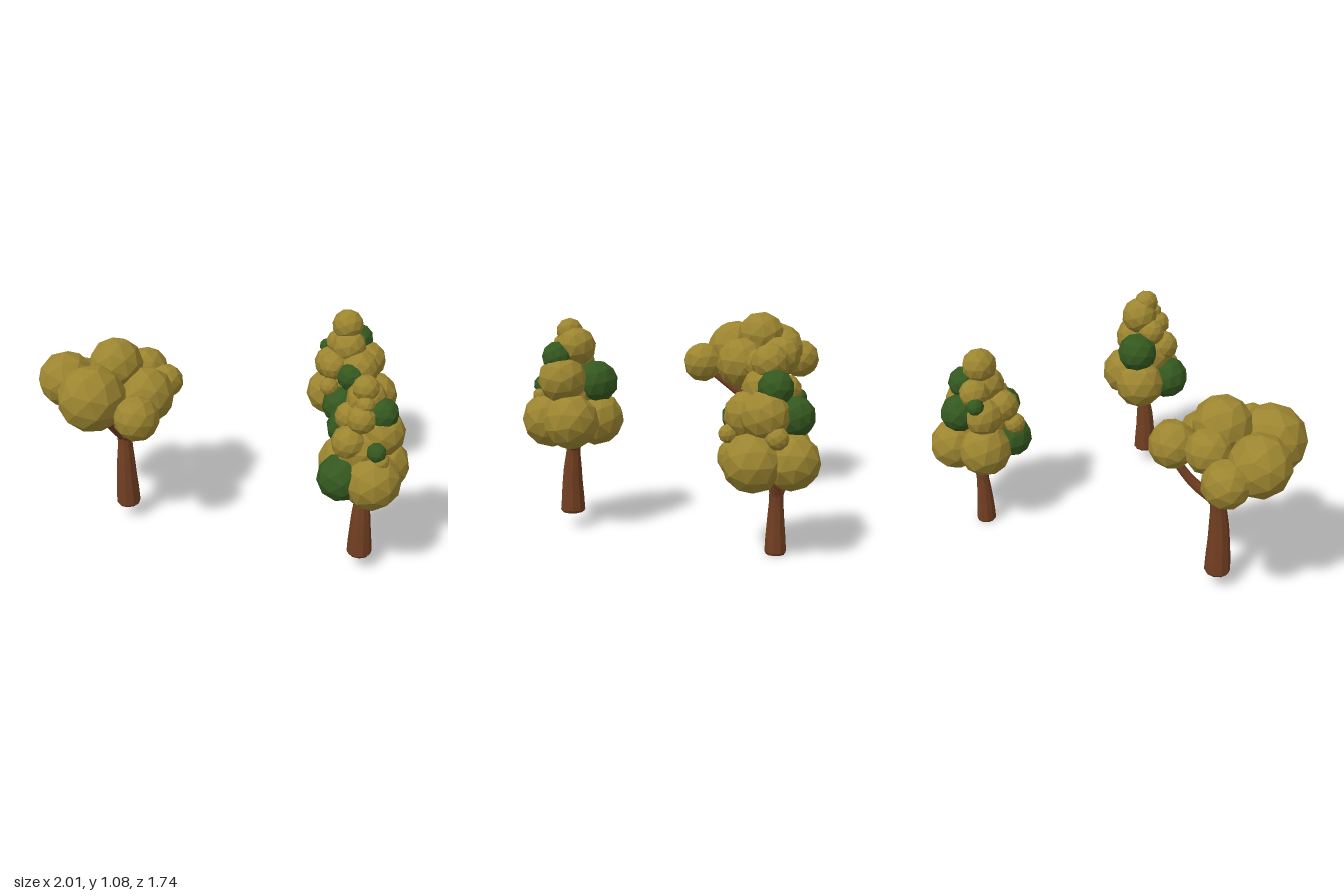
import * as THREE from 'three';

const olive = new THREE.MeshStandardMaterial({ color: 0x9c8530 });
olive.name = 'oliveLeaves';
const green = new THREE.MeshStandardMaterial({ color: 0x34581f });
green.name = 'greenLeaves';
const bark = new THREE.MeshStandardMaterial({ color: 0x713e21 });
bark.name = 'bark';
for (const m of [olive, green, bark]) m.flatShading = true;

// Tapered limb: a tube whose rings are rescaled along the path
function limb(name, points, radii) {
  const curve = new THREE.CatmullRomCurve3(points.map(p => new THREE.Vector3(...p)));
  const steps = 14, sides = 10;
  const geo = new THREE.TubeGeometry(curve, steps, 1, sides, false);
  const pos = geo.attributes.position, v = new THREE.Vector3();
  for (let i = 0; i <= steps; i++) {
    const t = (i / steps) * (radii.length - 1);
    const k = Math.min(Math.floor(t), radii.length - 2);
    const r = THREE.MathUtils.lerp(radii[k], radii[k + 1], t - k);
    const c = curve.getPointAt(i / steps);
    for (let j = 0; j <= sides; j++) {
      const n = i * (sides + 1) + j;
      v.fromBufferAttribute(pos, n).sub(c).multiplyScalar(r).add(c);
      pos.setXYZ(n, v.x, v.y, v.z);
    }
  }
  geo.computeVertexNormals();
  const mesh = new THREE.Mesh(geo, bark);
  mesh.name = name;
  return mesh;
}

// Faceted leaf clump
const clumpGeo = new THREE.IcosahedronGeometry(1, 1);
function clump([x, y, z, r], material, i) {
  const mesh = new THREE.Mesh(clumpGeo, material);
  mesh.name = 'leafClump';
  mesh.position.set(x, y, z);
  mesh.scale.setScalar(r * 1.01);
  mesh.rotation.set(i * 1.3, i * 2.1, i * 0.7);
  return mesh;
}

// Flared trunk with a rounded foot, branches and leaf clumps
function tree(name, { base, top, foot, neck, branches, oliveClumps, greenClumps }) {
  const g = new THREE.Group();
  g.name = name;
  const [bx, by, bz] = base;
  const mid = [bx, (by + top[1]) / 2, bz];
  g.add(limb('trunk', [[bx, by + 0.012, bz], mid, top],
    [foot, foot * 0.94, foot * 0.84, foot * 0.75, neck, neck]));
  const footMesh = new THREE.Mesh(new THREE.CylinderGeometry(foot, foot * 0.88, 0.014, 10), bark);
  footMesh.name = 'trunkFoot';
  footMesh.position.set(bx, by + 0.007, bz);
  g.add(footMesh);
  for (const [a, b] of branches) {
    const start = [top[0], top[1] - 0.04, top[2]];
    g.add(limb('branch', [start, a, b], [neck * 0.85, neck * 0.6, neck * 0.45]));
  }
  oliveClumps.forEach((c, i) => g.add(clump(c, olive, i)));
  greenClumps.forEach((c, i) => g.add(clump(c, green, i + 3)));
  return g;
}

export function createModel() {
  const model = new THREE.Group();
  model.name = 'treeGroup';

  model.add(tree('spreadingTree', {
    base: [-0.63, 0.08, -0.47], top: [-0.62, 0.53, -0.48], foot: 0.065, neck: 0.04,
    branches: [
      [[-0.69, 0.57, -0.44], [-0.8, 0.72, -0.38]],
      [[-0.5, 0.58, -0.5], [-0.38, 0.75, -0.53]],
      [[-0.65, 0.58, -0.56], [-0.73, 0.74, -0.74]],
      [[-0.63, 0.58, -0.36], [-0.68, 0.72, -0.18]],
    ],
    oliveClumps: [
      [-0.85, 0.82, -0.65, 0.15], [-0.83, 0.81, -0.38, 0.175],
      [-0.73, 0.76, -0.76, 0.115], [-0.63, 0.91, -0.5, 0.142],
      [-0.61, 0.84, -0.64, 0.11], [-0.42, 0.81, -0.58, 0.115],
      [-0.37, 0.77, -0.45, 0.092], [-0.53, 0.76, -0.37, 0.15],
      [-0.69, 0.75, -0.16, 0.117],
    ],
    greenClumps: [],
  }));

  model.add(tree('middleTree', {
    base: [0.155, 0.08, 0.62], top: [0.165, 0.46, 0.61], foot: 0.064, neck: 0.038,
    branches: [
      [[0.22, 0.46, 0.61], [0.28, 0.54, 0.62]],
      [[0.14, 0.48, 0.64], [0.12, 0.56, 0.68]],
      [[0.15, 0.48, 0.57], [0.14, 0.56, 0.52]],
    ],
    oliveClumps: [
      [0.13, 0.565, 0.72, 0.147], [0.14, 0.565, 0.49, 0.138], [0.27, 0.57, 0.62, 0.14],
      [0.22, 0.78, 0.66, 0.122], [0.05, 0.76, 0.63, 0.085], [0.13, 0.7, 0.62, 0.13],
      [0.14, 0.69, 0.77, 0.042], [0.18, 0.94, 0.59, 0.1], [0.1, 0.88, 0.66, 0.072],
      [0.1, 0.86, 0.57, 0.075], [0.12, 0.95, 0.66, 0.045], [0.15, 1.015, 0.62, 0.066],
    ],
    greenClumps: [
      [0.02, 0.57, 0.62, 0.12], [0.155, 0.755, 0.49, 0.11],
      [0.21, 0.89, 0.68, 0.08], [0.12, 0.74, 0.76, 0.048],
    ],
  }));

  model.add(tree('rightTree', {
    base: [0.735, 0, -0.335], top: [0.745, 0.32, -0.335], foot: 0.052, neck: 0.034,
    branches: [
      [[0.72, 0.36, -0.31], [0.68, 0.45, -0.27]],
      [[0.78, 0.36, -0.32], [0.82, 0.45, -0.28]],
      [[0.75, 0.36, -0.37], [0.75, 0.45, -0.41]],
    ],
    oliveClumps: [
      [0.86, 0.47, -0.2, 0.142], [0.73, 0.47, -0.17, 0.115], [0.86, 0.47, -0.38, 0.135],
      [0.68, 0.47, -0.39, 0.138], [0.74, 0.58, -0.3, 0.13],
      [0.84, 0.68, -0.26, 0.118], [0.62, 0.69, -0.28, 0.085], [0.74, 0.67, -0.2, 0.118],
      [0.68, 0.66, -0.38, 0.1], [0.77, 0.59, -0.1, 0.045], [0.92, 0.59, -0.3, 0.055],
      [0.57, 0.58, -0.25, 0.055], [0.72, 0.79, -0.27, 0.1], [0.73, 0.78, -0.37, 0.08],
      [0.73, 0.91, -0.3, 0.09],
    ],
    greenClumps: [
      [0.62, 0.47, -0.2, 0.108], [0.67, 0.65, -0.17, 0.085], [0.81, 0.67, -0.4, 0.1],
      [0.82, 0.805, -0.31, 0.085], [0.69, 0.74, -0.44, 0.045],
    ],
  }));

  return model;
}
